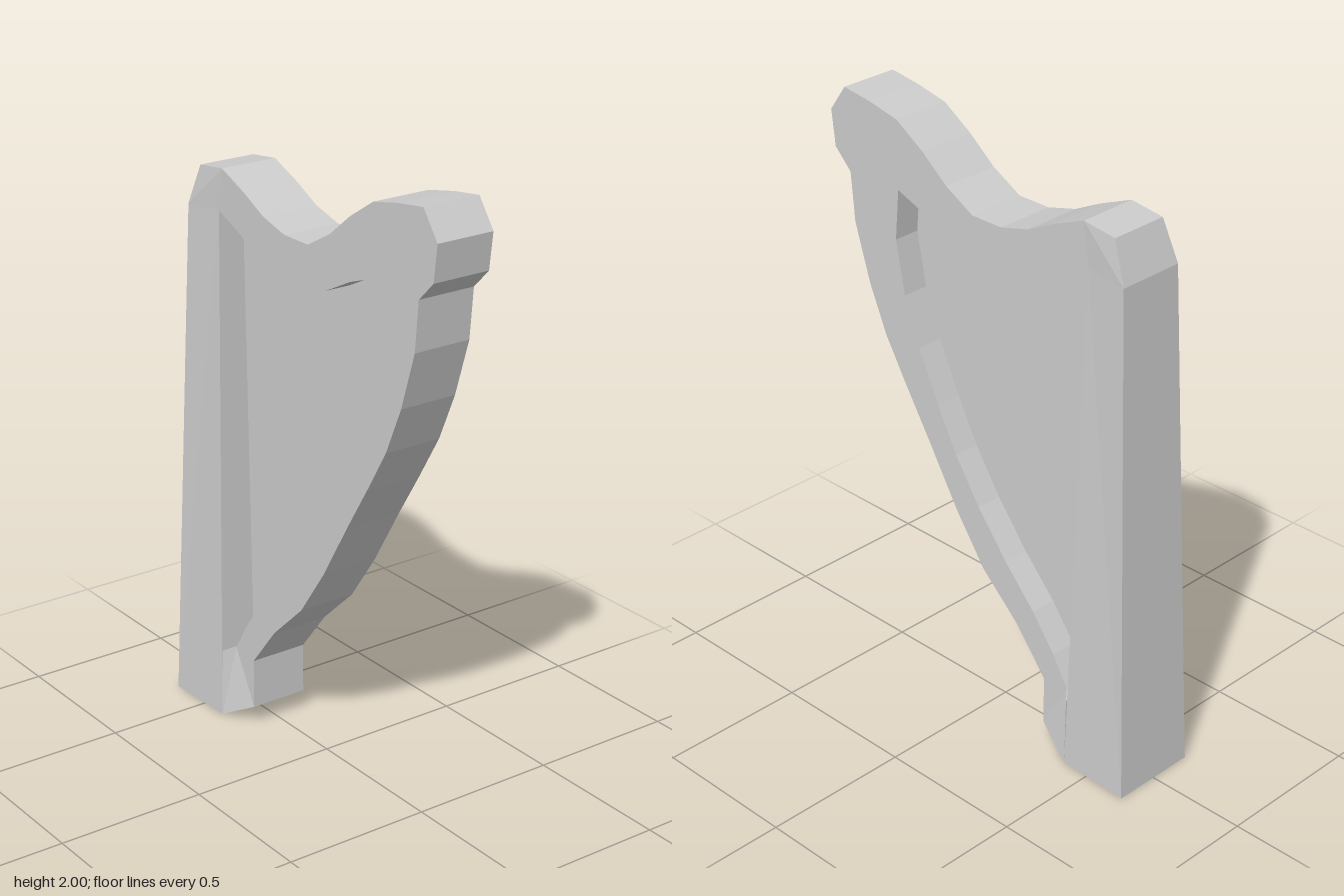
import * as THREE from 'three';

const frameMaterial = new THREE.MeshStandardMaterial({ color: 0xcccccc });
frameMaterial.name = 'pale grey';

// Side profiles as [z, y]
const outer = [
  [-0.27, 0.24], [-0.15, 0.39], [0, 0.53], [0.12, 0.70], [0.24, 0.90], [0.34, 1.06],
  [0.43, 1.21], [0.50, 1.37], [0.56, 1.56], [0.575, 1.725], [0.64, 1.79], [0.655, 1.91],
  [0.59, 2.0], [0.48, 1.985], [0.36, 1.96], [0.25, 1.89], [0.15, 1.81], [0.04, 1.75],
  [-0.08, 1.75], [-0.19, 1.78], [-0.29, 1.83], [-0.41, 1.88],
];
const inner = [
  [-0.43, 1.74], [-0.31, 1.69], [-0.20, 1.63], [-0.07, 1.60], [0.03, 1.605], [0.13, 1.63],
  [0.25, 1.69], [0.36, 1.73], [0.375, 1.56], [0.34, 1.38], [0.28, 1.22], [0.20, 1.05],
  [0.12, 0.90], [0.02, 0.75], [-0.10, 0.60], [-0.22, 0.47], [-0.31, 0.35], [-0.37, 0.25],
];

function part(name, geometry) {
  const mesh = new THREE.Mesh(geometry, frameMaterial);
  mesh.name = name;
  return mesh;
}

// Extrude a side profile evenly to both sides of x = 0
function slab(points, halfWidth) {
  const shape = new THREE.Shape(points.map(([z, y]) => new THREE.Vector2(z, y)));
  const g = new THREE.ExtrudeGeometry(shape, { depth: halfWidth * 2, bevelEnabled: false });
  g.translate(0, 0, -halfWidth);
  g.rotateY(-Math.PI / 2);
  return g;
}

// Mirrored four-corner section from two [x, y, z] corners
const section = (p, q) => [[-p[0], p[1], p[2]], p, q, [-q[0], q[1], q[2]]];

// Flat-faced skin over a series of sections, closed at both ends
function loft(rings) {
  const pos = [];
  const tri = (...corners) => {
    const [a, b, c] = corners.map((v) => new THREE.Vector3(...v));
    if (b.clone().sub(a).cross(c.clone().sub(a)).length() > 1e-8) pos.push(...corners.flat());
  };
  for (let i = 0; i < rings.length - 1; i++) {
    for (let j = 0; j < 4; j++) {
      const k = (j + 1) % 4;
      const a = rings[i][j], b = rings[i][k], c = rings[i + 1][k], d = rings[i + 1][j];
      if (j === 1) { tri(a, b, d); tri(b, c, d); } // mirrored diagonal
      else { tri(a, b, c); tri(a, c, d); }
    }
  }
  const [s0, s1, s2, s3] = rings[0];
  const [e0, e1, e2, e3] = rings[rings.length - 1];
  tri(s0, s2, s1); tri(s0, s3, s2);
  tri(e0, e1, e2); tri(e0, e2, e3);
  const g = new THREE.BufferGeometry();
  g.setAttribute('position', new THREE.Float32BufferAttribute(pos, 3));
  g.computeVertexNormals();
  return g;
}

export function createModel() {
  const group = new THREE.Group();
  group.name = 'harp';

  // Curved neck and front column in one piece
  group.add(part('neckAndColumn', slab([...outer, ...inner], 0.1)));

  // Thin panel filling the opening
  group.add(part('centrePanel', slab([...inner, [-0.40, 0.235]], 0.01)));

  // Tapered upright at the back, wider at the base
  group.add(part('backPillar', loft([
    section([0.14, 0, -0.40], [0.15, 0, -0.655]),
    section([0.10, 1.74, -0.43], [0.115, 1.73, -0.58]),
    section([0.10, 1.88, -0.41], [0.10, 1.865, -0.53]),
  ])));

  // Foot flaring from the column out to the pillar
  group.add(part('foot', loft([
    section([0.14, 0, -0.40], [0.135, 0.235, -0.40]),
    section([0.14, 0, -0.40], [0.10, 0.25, -0.37]),
    section([0.10, 0.07, -0.27], [0.10, 0.24, -0.27]),
  ])));

  return group;
}
